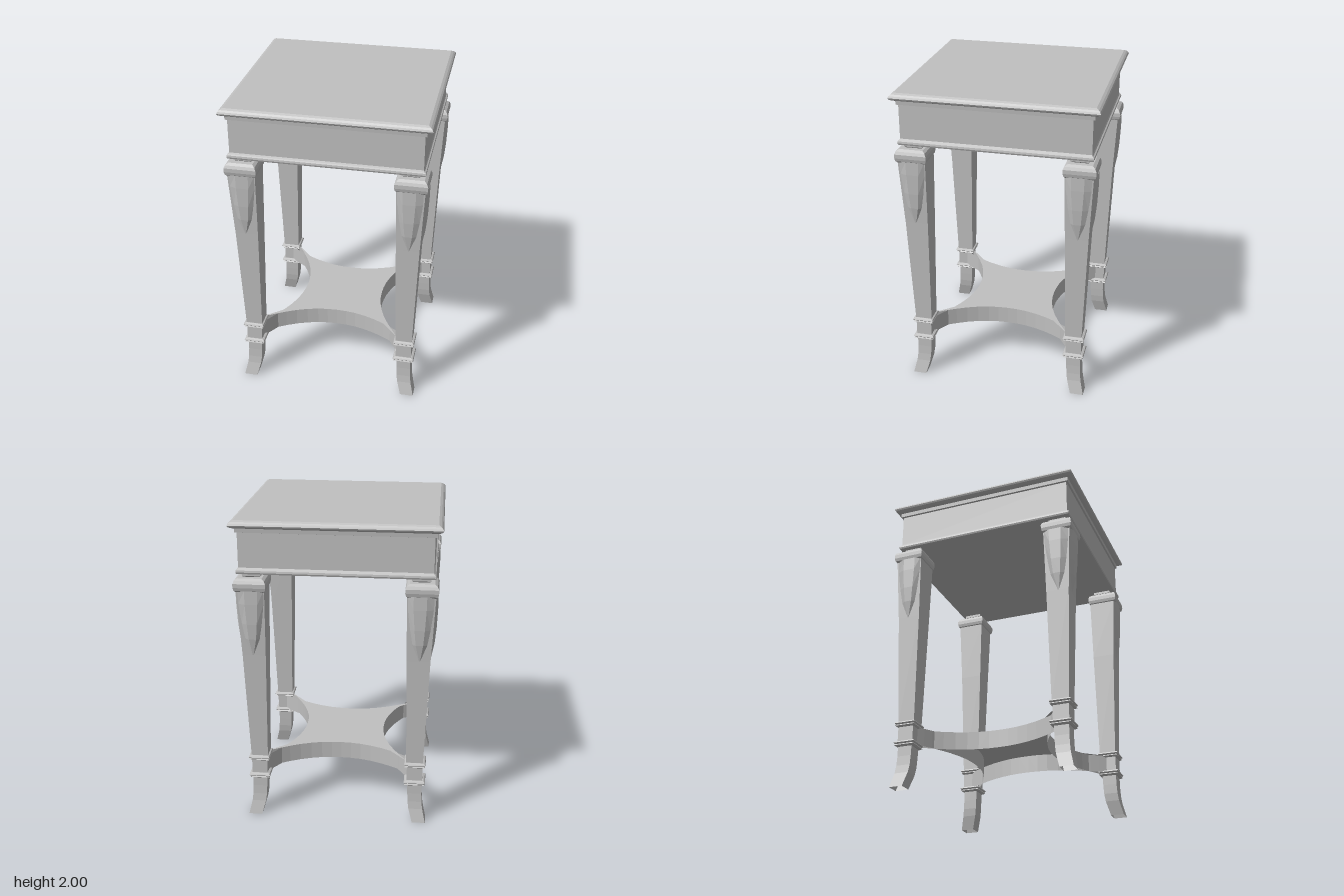
import * as THREE from 'three';

// Faceted geometry from quads spanning rows of points
function skin(rows, closed, caps = []) {
  const n = rows[0].length, pos = [], idx = [];
  rows.forEach(r => r.forEach(p => pos.push(...p)));
  for (let i = 0; i < rows.length - 1; i++) {
    for (let j = 0; j < (closed ? n : n - 1); j++) {
      const k = (j + 1) % n;
      const a = i * n + j, b = i * n + k, c = a + n, d = b + n;
      idx.push(a, b, d, a, d, c);
    }
  }
  if (caps.includes('bottom')) idx.push(0, 2, 1, 0, 3, 2);
  if (caps.includes('top')) {
    const t = (rows.length - 1) * n;
    idx.push(t, t + 1, t + 2, t, t + 2, t + 3);
  }
  const indexed = new THREE.BufferGeometry();
  indexed.setAttribute('position', new THREE.Float32BufferAttribute(pos, 3));
  indexed.setIndex(idx);
  const g = indexed.toNonIndexed();
  g.computeVertexNormals();
  return g;
}

// Square cross-sections [y, near edge, far edge], the same in x and z
const squareLoft = (sections, caps = ['bottom', 'top']) =>
  skin(sections.map(([y, a, b]) => [[a, y, b], [b, y, b], [b, y, a], [a, y, a]]), true, caps);

const tableProfile = [
  [1.665, 0.588], [1.668, 0.598], [1.678, 0.602], [1.69, 0.6], [1.695, 0.592], [1.705, 0.587],
  [1.92, 0.587], [1.923, 0.598], [1.948, 0.6], [1.953, 0.615], [1.962, 0.63],
  [1.972, 0.635], [1.983, 0.63], [1.992, 0.62], [2.0, 0.605],
];

export function createModel() {
  const model = new THREE.Group();
  model.name = 'sideTable';
  const grey = new THREE.MeshStandardMaterial({ color: 0xc0c0c0, side: THREE.DoubleSide });
  grey.name = 'plain grey';
  const add = (parent, name, geometry) => {
    const mesh = new THREE.Mesh(geometry, grey);
    mesh.name = name;
    parent.add(mesh);
    return mesh;
  };

  // Moulded top, apron and lower bead
  add(model, 'tableTop', squareLoft(tableProfile.map(([y, h]) => [y, -h, h])));

  // Leg parts for one corner
  const parts = {
    neck: squareLoft([[1.62, 0.46, 0.565], [1.64, 0.465, 0.56], [1.648, 0.455, 0.57], [1.668, 0.455, 0.57]]),
    cap: squareLoft([
      [1.555, 0.435, 0.605], [1.565, 0.425, 0.615], [1.585, 0.42, 0.62], [1.61, 0.42, 0.62],
      [1.628, 0.428, 0.612], [1.64, 0.445, 0.595],
    ]),
    shaft: squareLoft([[0.42, 0.45, 0.557], [1.14, 0.437, 0.583], [1.56, 0.43, 0.605]]),
    block: squareLoft([[0.285, 0.455, 0.556], [0.4, 0.455, 0.556]]),
    foot: squareLoft([
      [0, 0.497, 0.583], [0.09, 0.472, 0.562], [0.14, 0.465, 0.556], [0.2, 0.462, 0.553], [0.27, 0.46, 0.553],
    ], []),
  };
  const ring = y => squareLoft([
    [y - 0.018, 0.452, 0.56], [y - 0.01, 0.441, 0.571], [y - 0.003, 0.446, 0.567],
    [y + 0.005, 0.437, 0.575], [y + 0.013, 0.441, 0.571], [y + 0.018, 0.452, 0.56],
  ]);
  parts.upperRing = ring(0.408);
  parts.lowerRing = ring(0.28);

  // Raised, tapering knee facet on each outer face: [y, half width, face, relief]
  const knee = [
    [1.565, 0.08, 0.605, 0.012], [1.48, 0.078, 0.6, 0.017], [1.35, 0.062, 0.594, 0.018],
    [1.25, 0.045, 0.589, 0.014], [1.14, 0.004, 0.583, 0],
  ];
  const kneeRows = knee.map(([y, w, f, r]) =>
    [[-w, 0], [-w * 0.55, r], [w * 0.45, r], [w, 0]].map(([u, d]) => [0.515 + u, y, f + d + 0.0005]));
  parts.frontKnee = skin(kneeRows, false);
  parts.sideKnee = skin(kneeRows.map(r => r.map(([x, y, z]) => [z, y, x])), false);

  ['frontLeft', 'backLeft', 'backRight', 'frontRight'].forEach((corner, i) => {
    const leg = new THREE.Group();
    leg.name = corner + 'Leg';
    leg.rotation.y = i * Math.PI / 2;
    for (const [name, geometry] of Object.entries(parts)) add(leg, name, geometry);
    model.add(leg);
  });

  // Shelf with four concave sides, open underneath
  const side = new THREE.CatmullRomCurve3([
    [-0.5, 0.46], [-0.4, 0.395], [-0.27, 0.325], [-0.13, 0.28], [0, 0.268],
    [0.13, 0.28], [0.27, 0.325], [0.4, 0.395], [0.5, 0.46],
  ].map(([x, z]) => new THREE.Vector3(x, 0, z))).getPoints(16);
  const outline = [];
  for (let i = 0; i < 4; i++) {
    const axis = new THREE.Vector3(0, 1, 0);
    side.forEach(p => outline.push(p.clone().applyAxisAngle(axis, i * Math.PI / 2)));
  }
  add(model, 'shelfEdge', skin([0.285, 0.4].map(y => outline.map(p => [p.x, y, p.z])), true));
  const panel = new THREE.ShapeGeometry(new THREE.Shape(outline.map(p => new THREE.Vector2(p.x, -p.z))));
  panel.rotateX(-Math.PI / 2);
  add(model, 'shelfPanel', panel).position.y = 0.4;

  return model;
}
